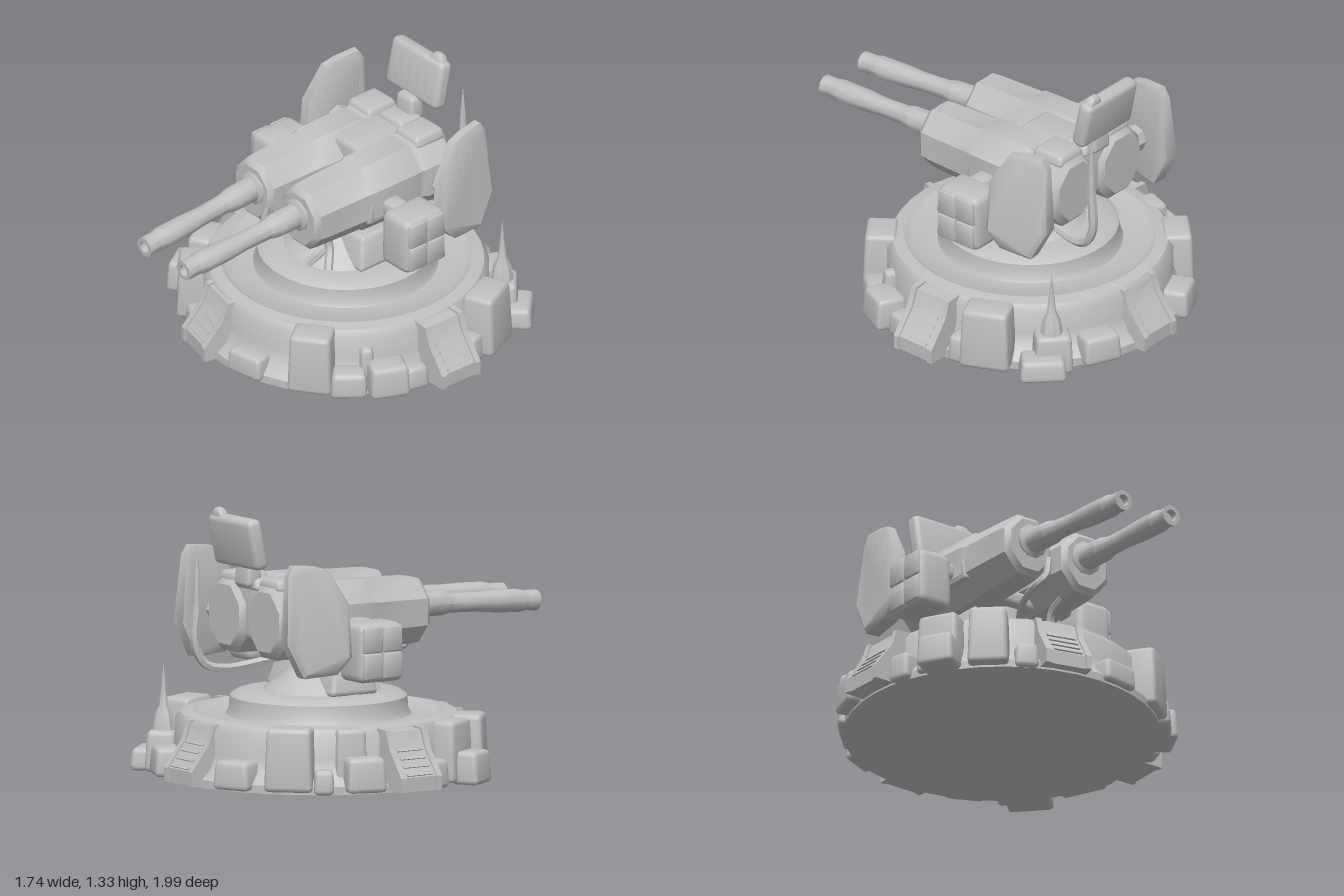
import * as THREE from 'three';
import { toCreasedNormals } from 'three/addons/utils/BufferGeometryUtils.js';
import { RoundedBoxGeometry } from 'three/addons/geometries/RoundedBoxGeometry.js';

const CZ = -0.18; // z of the turntable axis
const V = (x, y, z) => new THREE.Vector3(x, y, z);

export function createModel() {
  const model = new THREE.Group();
  const grey = new THREE.MeshStandardMaterial({ color: 0xc0c0c0 });
  grey.name = 'plain grey';

  function add(name, geo, pos = [0, 0, 0], rot = [0, 0, 0], parent = model) {
    const mesh = new THREE.Mesh(toCreasedNormals(geo, 0.65), grey);
    mesh.name = name;
    mesh.position.set(...pos);
    mesh.rotation.set(...rot);
    parent.add(mesh);
    return mesh;
  }

  // chamfered box whose top is scaled by tx, tz
  function block(w, h, d, tx = 1, tz = 1, r = 0.025) {
    const g = new RoundedBoxGeometry(w, h, d, 2, Math.min(r, h * 0.4, w * 0.4, d * 0.4));
    const p = g.attributes.position;
    for (let i = 0; i < p.count; i++) {
      const t = p.getY(i) / h + 0.5;
      p.setX(i, p.getX(i) * (1 + (tx - 1) * t));
      p.setZ(i, p.getZ(i) * (1 + (tz - 1) * t));
    }
    g.computeVertexNormals();
    return g;
  }

  const lathe = (pts, n) => new THREE.LatheGeometry(pts.map(([r, y]) => new THREE.Vector2(r, y)), n);

  // lathe lying along +z, with a flat on top for even side counts
  function latheZ(pts, n, sy = 1) {
    const g = lathe(pts, n);
    g.rotateY(Math.PI / n);
    g.rotateX(Math.PI / 2);
    g.scale(1, sy, 1);
    return g;
  }

  const hose = (name, pts, r) =>
    add(name, new THREE.TubeGeometry(new THREE.CatmullRomCurve3(pts.map(p => V(...p))), 20, r, 6));

  // Round base with stepped turntable
  add('base', lathe([[0, 0], [0.77, 0], [0.77, 0.04], [0.72, 0.09], [0.695, 0.16], [0.695, 0.27], [0.67, 0.305], [0.61, 0.315],
    [0.58, 0.295], [0.45, 0.295], [0.435, 0.32], [0.43, 0.385], [0.4, 0.405], [0.32, 0.412], [0, 0.412]], 40), [0, 0, CZ]);
  add('turntable', lathe([[0.3, 0.4], [0.27, 0.43], [0.2, 0.48], [0.15, 0.52], [0, 0.52]], 16), [0, 0, CZ + 0.02]);

  // Blocks around the rim: angle, radius, width, height, depth, bottom
  const rim = [
    [-156, 0.735, 0.2, 0.14, 0.17, 0.01], [156, 0.735, 0.2, 0.14, 0.17, 0.01],
    [-135, 0.71, 0.24, 0.31, 0.16, 0.01], [-107, 0.74, 0.2, 0.17, 0.18, 0.01], [-111, 0.67, 0.16, 0.3, 0.12, 0.01],
    [-59, 0.81, 0.19, 0.16, 0.16, 0], [-61, 0.72, 0.22, 0.3, 0.14, 0.01],
    [-42, 0.73, 0.2, 0.3, 0.18, 0.01], [-28, 0.73, 0.12, 0.13, 0.12, 0],
    [10, 0.74, 0.21, 0.12, 0.12, 0.01],
    [36, 0.72, 0.22, 0.31, 0.18, 0.01], [50, 0.75, 0.18, 0.13, 0.14, 0],
    [64, 0.77, 0.2, 0.16, 0.17, 0.01], [57, 0.69, 0.07, 0.22, 0.12, 0.01], [75, 0.75, 0.12, 0.12, 0.12, 0],
    [-76, 0.75, 0.12, 0.14, 0.12, 0], [103, 0.74, 0.1, 0.14, 0.12, 0],
    [114, 0.75, 0.25, 0.31, 0.18, 0.015], [134, 0.83, 0.23, 0.11, 0.17, 0], [138, 0.76, 0.19, 0.2, 0.16, 0],
    [-122, 0.74, 0.1, 0.12, 0.12, 0],
  ];
  const rimGroup = new THREE.Group();
  rimGroup.name = 'rimBlocks';
  rimGroup.position.z = CZ;
  model.add(rimGroup);
  rim.forEach(([deg, r, w, h, d, y]) => {
    const a = THREE.MathUtils.degToRad(deg);
    add('rimBlock', block(w, h, d, 0.9, 0.85), [Math.sin(a) * r, y + h / 2, Math.cos(a) * r], [0, a, 0], rimGroup);
  });

  // Sloped ladder vents: angle, outer radius
  [[-14, 0.83], [89, 0.87], [180, 0.82], [-89, 0.87]].forEach(([deg, r]) => {
    const vent = new THREE.Group();
    vent.name = 'ladderVent';
    vent.position.z = CZ;
    vent.rotation.y = THREE.MathUtils.degToRad(deg);
    model.add(vent);
    const wedge = (name, w, x, s) => {
      const shape = new THREE.Shape([[0.6, 0.01], [r - s, 0.01], [r - s, 0.08], [r - 0.1 - s, 0.21], [r - 0.13 - s, 0.3 - s], [0.6, 0.31 - s]]
        .map(p => new THREE.Vector2(...p)));
      const g = new THREE.ExtrudeGeometry(shape, { depth: w, bevelEnabled: false });
      g.translate(0, 0, -w / 2);
      g.rotateY(-Math.PI / 2);
      add(name, g, [x, 0, 0], [0, 0, 0], vent);
    };
    wedge('ventSlope', 0.2, 0, 0.01);
    for (const s of [-1, 1]) wedge('ventCheek', 0.03, s * 0.105, 0);
    for (let i = 0; i < 4; i++) {
      const t = i / 3;
      add('rung', new THREE.BoxGeometry(0.15, 0.014, 0.02),
        [0, 0.09 + t * 0.11, r - 0.02 - t * 0.085], [-0.6, 0, 0], vent);
    }
  });

  // Rim aerial
  add('rimAerial', lathe([[0, 0.18], [0.06, 0.18], [0.045, 0.27], [0.022, 0.32], [0.013, 0.4], [0, 0.53]], 8), [0.51, 0, -0.74]);

  // Mount: brackets and neck
  for (const s of [-1, 1]) add('mountBracket', block(0.24, 0.17, 0.28, 0.75, 0.65), [s * 0.17, 0.485, CZ + 0.02], [0, 0, s * 0.1]);
  add('neck', block(0.13, 0.2, 0.24, 0.9, 0.8), [0, 0.57, CZ]);
  add('cradle', block(0.3, 0.08, 0.28), [0, 0.67, CZ]);
  add('gunBridge', block(0.26, 0.28, 0.41, 0.95, 1, 0.03), [0, 0.82, -0.385]);

  for (const s of [-1, 1]) {
    const side = s > 0 ? 'left' : 'right';

    // Gun housing, eight sided, with stepped rear
    add(side + 'GunHousing', latheZ([[0, -0.615], [0.14, -0.615], [0.175, -0.58], [0.178, -0.42], [0.168, -0.395],
      [0.168, -0.375], [0.176, -0.35], [0.172, -0.08], [0.162, -0.06], [0.155, 0.2], [0.15, 0.25], [0.125, 0.275], [0, 0.275]], 8, 1.12),
    [s * 0.172, 0.79, 0]);
    add(side + 'RearCap', block(0.19, 0.06, 0.19, 0.8, 0.9), [s * 0.175, 0.97, -0.5]);
    add(side + 'Bulge', block(0.05, 0.18, 0.28, 0.8, 0.8), [s * 0.305, 0.78, -0.18]);

    // Barrel, drooping and slightly toed in
    const barrel = latheZ([[0, 0.2], [0.085, 0.2], [0.085, 0.285], [0.064, 0.295], [0.062, 0.42], [0.05, 0.47], [0.048, 0.62],
      [0.056, 0.74], [0.058, 0.88], [0.05, 0.92], [0.052, 0.99], [0.03, 0.99], [0.028, 0.95], [0, 0.95]], 10);
    barrel.translate(0, 0, -0.25);
    add(side + 'Barrel', barrel, [s * 0.163, 0.812, 0.25], [0.055, -s * 0.025, 0]);

    // Side pod with ribbed outer face, hung on a short arm
    add(side + 'Pod', block(0.2, 0.29, 0.265, 0.98, 0.95, 0.04), [s * 0.482, 0.655, -0.195]);
    for (const y of [0.592, 0.722])
      for (const z of [-0.252, -0.138])
        add(side + 'PodCap', block(0.03, 0.128, 0.112, 0.95, 0.95), [s * 0.575, y, z]);
    add(side + 'PodArm', block(0.14, 0.08, 0.1), [s * 0.35, 0.76, CZ]);

    // Tall side fin on a knobbed arm
    const outline = new THREE.Shape([[0.35, 0.9], [0.45, 1.07], [0.52, 1.09], [0.64, 1.1], [0.67, 1.05],
      [0.69, 0.72], [0.6, 0.55], [0.42, 0.56], [0.34, 0.64]].map(p => new THREE.Vector2(...p)));
    const fin = new THREE.ExtrudeGeometry(outline, { depth: 0.07, bevelThickness: 0.015, bevelSize: 0.02, bevelOffset: -0.02, bevelSegments: 1 });
    fin.translate(0, 0, -0.035);
    fin.rotateY(Math.PI / 2); // outline x becomes -z
    const p = fin.attributes.position;
    for (let i = 0; i < p.count; i++) {
      const t = Math.max(0, (p.getY(i) - 0.75) / 0.35);
      p.setX(i, p.getX(i) * (1 - 0.45 * t) - s * 0.02 * t);
    }
    fin.translate(0, 0, 0.51);
    fin.computeVertexNormals();
    add(side + 'Fin', fin, [s * 0.48, 0, -0.51], [0, s * 0.12, 0]);
    const arm = lathe([[0, -0.1], [0.035, -0.1], [0.035, -0.04], [0.07, -0.02], [0.07, 0.03], [0.04, 0.06], [0.04, 0.1], [0, 0.1]], 8);
    arm.rotateZ(Math.PI / 2);
    add(side + 'FinArm', arm, [s * 0.39, 0.78, -0.49]);
  }

  // Sensor panel on a short stalk
  add('panelStalk', block(0.13, 0.13, 0.1, 0.9, 0.7), [0, 1.01, -0.59]);
  add('panelFoot', block(0.2, 0.06, 0.16, 0.8, 0.8), [0, 0.96, -0.53]);
  add('sensorPanel', block(0.38, 0.25, 0.08, 0.98, 1, 0.03), [0, 1.17, -0.65], [-0.2, 0, 0]);
  add('panelNub', block(0.12, 0.06, 0.06, 0.4, 0.7), [0.12, 1.295, -0.675], [-0.2, 0, 0]);

  // Rear whip aerial and its cable
  add('whipAerial', lathe([[0.015, 0.68], [0.022, 0.85], [0.014, 1], [0, 1.15]], 7), [0.215, 0, -0.745]);
  hose('aerialCable', [[0.215, 0.85, -0.745], [0.215, 0.65, -0.755], [0.21, 0.55, -0.7], [0.19, 0.525, -0.6], [0.15, 0.55, -0.4], [0.1, 0.58, -0.25]], 0.022);

  // Loose hoses under the guns
  hose('frontHose', [[-0.06, 0.75, 0.27], [-0.08, 0.65, 0.28], [-0.11, 0.61, 0.25], [-0.08, 0.58, 0.1], [0, 0.54, -0.05]], 0.018);
  hose('leftHose', [[0.12, 0.64, 0.15], [0.12, 0.59, 0.06], [0.13, 0.52, 0.04], [0.17, 0.42, 0.08]], 0.022);
  hose('mountHose', [[0.05, 0.56, -0.06], [0.1, 0.5, 0.05], [0.06, 0.42, 0.12]], 0.025);

  return model;
}
